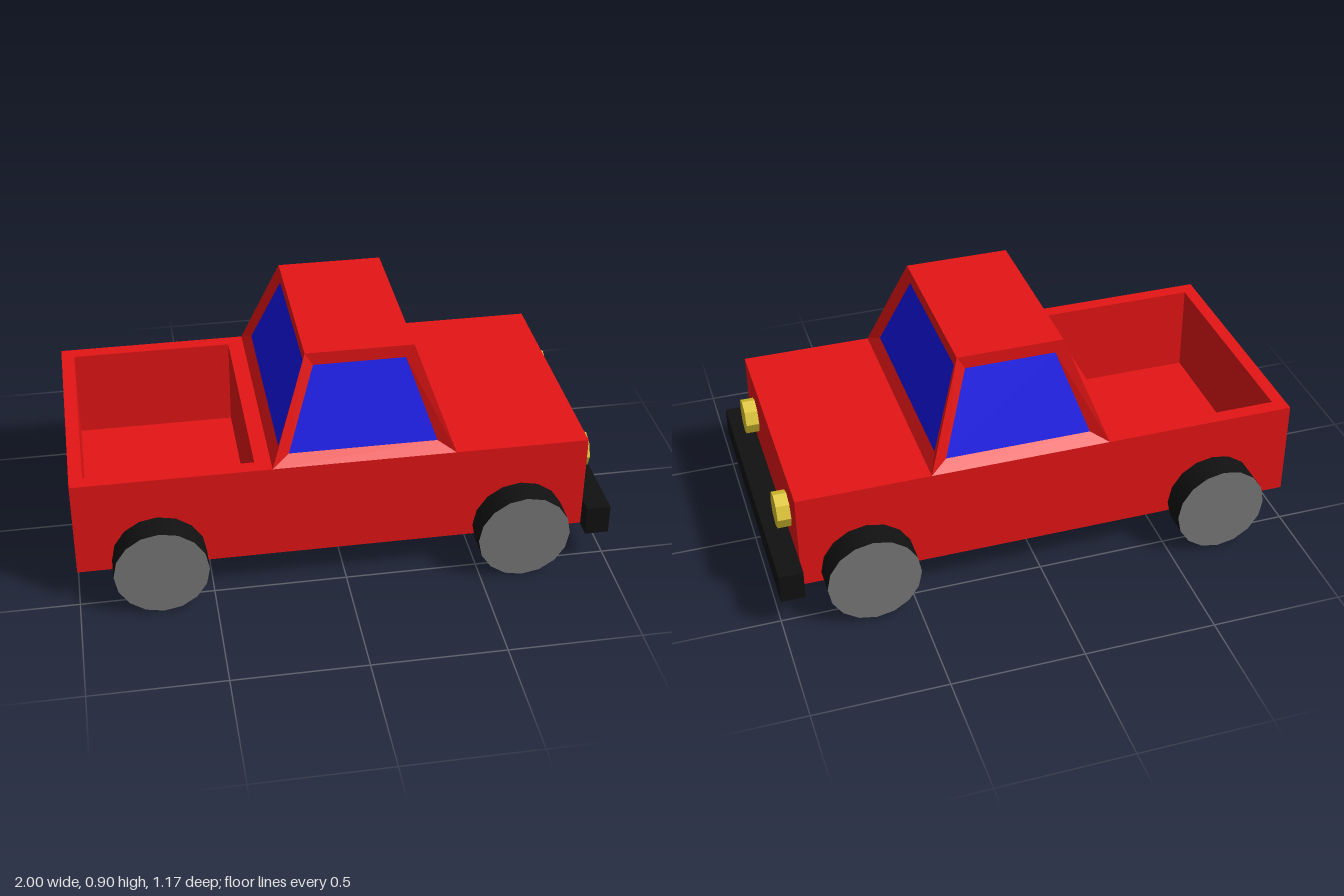
import * as THREE from 'three';

const paint = (color) => new THREE.MeshStandardMaterial({ color, flatShading: true });
const red = paint(0xe51515);
const blue = paint(0x1414ea);
const black = paint(0x111111);
const grey = paint(0x777777);
const yellow = paint(0xdcc430);

// Joins successive four-cornered loops (counter-clockwise from outside), with optional end caps
function loft(loops, capStart, capEnd) {
  const pos = [];
  const quad = (a, b, c, d) => pos.push(...a, ...b, ...c, ...a, ...c, ...d);
  for (let k = 0; k < loops.length - 1; k++) {
    const a = loops[k], b = loops[k + 1];
    for (let i = 0; i < 4; i++) {
      const j = (i + 1) % 4;
      quad(a[i], a[j], b[j], b[i]);
    }
  }
  if (capStart) quad(...[...loops[0]].reverse());
  if (capEnd) quad(...loops[loops.length - 1]);
  const g = new THREE.BufferGeometry();
  g.setAttribute('position', new THREE.Float32BufferAttribute(pos, 3));
  g.computeVertexNormals();
  return g;
}

// Horizontal rectangle at height y
const rect = (x0, x1, z, y) => [[x0, y, z], [x1, y, z], [x1, y, -z], [x0, y, -z]];

function add(parent, name, geometry, material, x = 0, y = 0, z = 0) {
  const mesh = new THREE.Mesh(geometry, material);
  mesh.name = name;
  mesh.position.set(x, y, z);
  parent.add(mesh);
  return mesh;
}

function createCab() {
  const cab = new THREE.Group();
  cab.name = 'cab';
  const base = rect(-0.27, 0.41, 0.48, 0.515);
  const top = rect(-0.13, 0.27, 0.34, 0.905);
  // Recessed panes, one rectangle low and one high for the sides and for the ends
  const sideLow = rect(-0.205, 0.345, 0.44, 0.55), sideHigh = rect(-0.1, 0.24, 0.34, 0.855);
  const endLow = rect(-0.238, 0.377, 0.4, 0.56), endHigh = rect(-0.13, 0.27, 0.3, 0.85);
  ['left', 'front', 'right', 'rear'].map((n) => n).forEach((label, i) => {
    const j = (i + 1) % 4;
    const low = i % 2 ? endLow : sideLow, high = i % 2 ? endHigh : sideHigh;
    const outer = [base[i], base[j], top[j], top[i]];
    const inner = [low[i], low[j], high[j], high[i]];
    add(cab, label + 'WindowFrame', loft([outer, inner]), red);
    add(cab, label + 'Window', loft([inner], false, true), blue);
  });
  add(cab, 'roof', loft([top], false, true), red);
  return cab;
}

export function createModel() {
  const truck = new THREE.Group();
  truck.name = 'pickupTruck';

  // Body shell with the open cargo bed sunk into the rear
  add(truck, 'body', loft([
    rect(-1, 0.91, 0.48, 0.135),
    rect(-1, 0.91, 0.48, 0.515),
    rect(-0.95, -0.33, 0.425, 0.515),
    rect(-0.95, -0.33, 0.425, 0.16),
  ], true, true), red);

  truck.add(createCab());

  add(truck, 'frontBumper', new THREE.BoxGeometry(0.09, 0.115, 1.09), black, 0.955, 0.188, 0);

  // Headlights and wheels, mirrored across the centre line
  const lamp = new THREE.CylinderGeometry(0.068, 0.068, 0.05, 8).rotateZ(-Math.PI / 2);
  const wheel = new THREE.CylinderGeometry(0.175, 0.175, 0.105, 16).rotateX(Math.PI / 2);
  const tread = black.clone();
  tread.flatShading = false;
  for (const side of [1, -1]) {
    add(truck, 'headlight', lamp, yellow, 0.935, 0.362, side * 0.308);
    add(truck, 'rearWheel', wheel, [tread, grey, grey], -0.695, 0.176, side * 0.533);
    add(truck, 'frontWheel', wheel, [tread, grey, grey], 0.66, 0.176, side * 0.533);
  }
  return truck;
}
